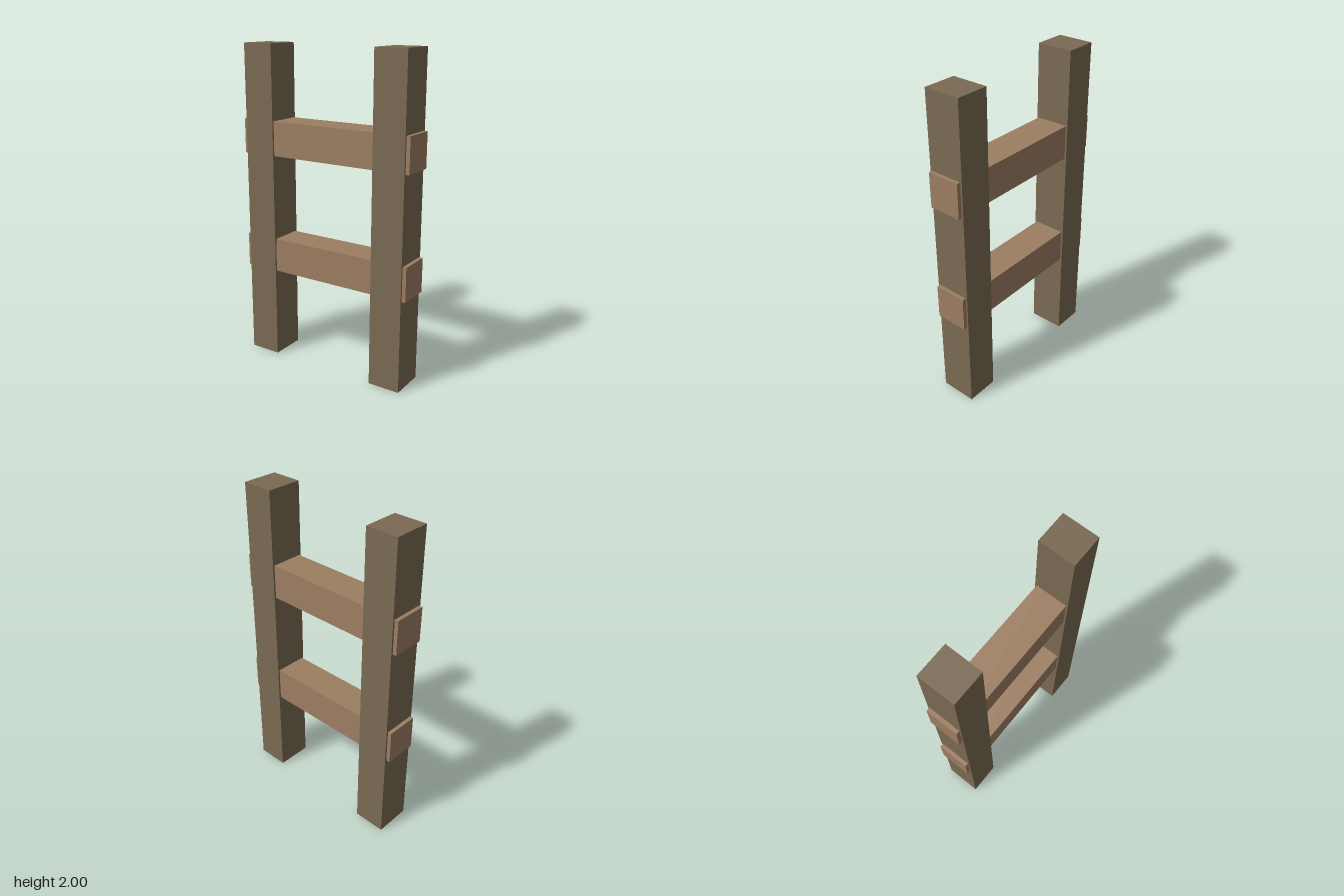
import * as THREE from 'three';

export function createModel() {
  const model = new THREE.Group();
  model.name = 'woodenFence';

  const postWood = new THREE.MeshStandardMaterial({ color: 0x7a6a53 });
  postWood.name = 'darkPostWood';
  const railWood = new THREE.MeshStandardMaterial({ color: 0x9d7e62 });
  railWood.name = 'lightRailWood';

  const addBeam = (name, size, position, material) => {
    const beam = new THREE.Mesh(new THREE.BoxGeometry(...size), material);
    beam.name = name;
    beam.position.set(...position);
    model.add(beam);
  };

  // Upright posts
  for (const [name, side] of [['leftPost', 1], ['rightPost', -1]]) {
    addBeam(name, [0.203, 2, 0.226], [side * 0.453, 1, 0], postWood);
  }

  // Cross rails, running through the posts with short ends showing outside
  for (const [name, y] of [['lowerRail', 0.686], ['upperRail', 1.434]]) {
    addBeam(name, [1.156, 0.214, 0.203], [0, y, 0], railWood);
  }

  return model;
}
